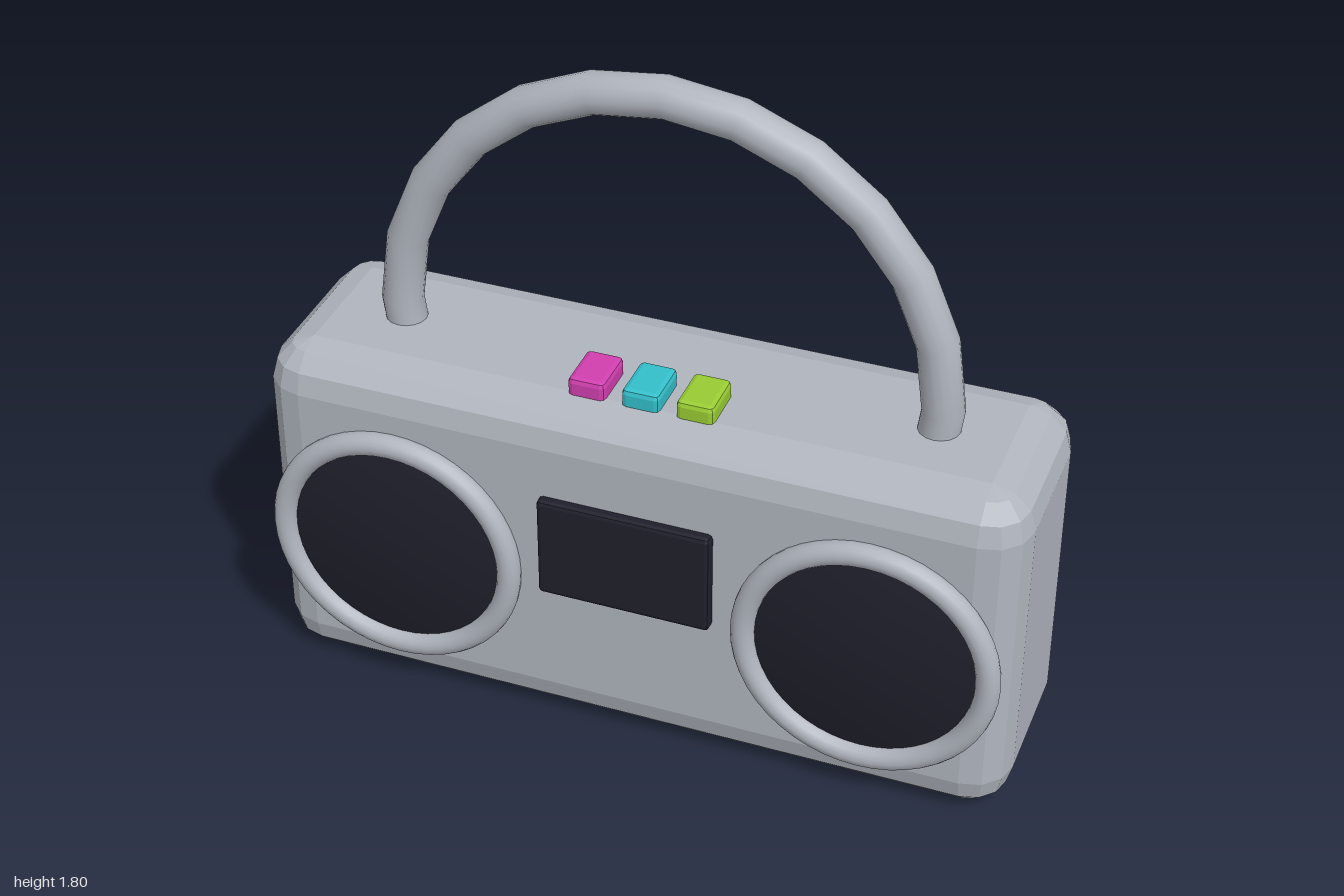
import * as THREE from 'three';
import { mergeVertices } from 'three/addons/utils/BufferGeometryUtils.js';
import { ConvexGeometry } from 'three/addons/geometries/ConvexGeometry.js';

const mat = (name, color) => {
  const m = new THREE.MeshStandardMaterial({ color });
  m.name = name;
  return m;
};

// Faceted box with every edge bevelled in a few steps
function bevelBox(w, h, d, r, steps) {
  const points = [];
  for (const sx of [-1, 1]) for (const sy of [-1, 1]) for (const sz of [-1, 1]) {
    for (let i = 0; i <= steps; i++) for (let j = 0; j <= steps; j++) {
      const a = (i / steps) * Math.PI / 2, b = (j / steps) * Math.PI / 2;
      if (i === steps && j > 0) continue; // single pole point
      points.push(new THREE.Vector3(
        sx * (w / 2 - r + r * Math.cos(a) * Math.cos(b)),
        sy * (h / 2 - r + r * Math.sin(a)),
        sz * (d / 2 - r + r * Math.cos(a) * Math.sin(b))
      ));
    }
  }
  return new ConvexGeometry(points);
}

// Disc whose rim normals lean outward, so it shades like a soft cone
function softDisc(radius, depth) {
  const g = new THREE.CylinderGeometry(radius, radius, depth, 48).rotateX(Math.PI / 2);
  g.deleteAttribute('normal');
  g.deleteAttribute('uv');
  const merged = mergeVertices(g);
  merged.computeVertexNormals();
  return merged;
}

export function createModel() {
  const group = new THREE.Group();
  const grey = mat('casing grey', 0xb0b5be);
  const dark = mat('speaker black', 0x1f1f2b);
  const pink = mat('button pink', 0xd03fae);
  const cyan = mat('button cyan', 0x33bfca);
  const lime = mat('button lime', 0x98cc33);

  const add = (name, geometry, material, x, y, z) => {
    const mesh = new THREE.Mesh(geometry, material);
    mesh.name = name;
    mesh.position.set(x, y, z);
    group.add(mesh);
    return mesh;
  };

  // Casing
  add('body', bevelBox(2, 0.97, 0.567, 0.113, 3), grey, 0, 0.485, -0.0215);

  // Carrying handle, its ends sunk into the casing
  const step = Math.PI / 12;
  const arch = new THREE.TorusGeometry(0.715, 0.054, 16, 14, 14 * step).rotateZ(-step);
  add('handle', arch, grey, 0, 1.028, -0.0215);

  // Speakers
  for (const [side, s] of [['left', 1], ['right', -1]]) {
    add(side + 'SpeakerRim', new THREE.TorusGeometry(0.315, 0.0315, 16, 48), grey, s * 0.63, 0.457, 0.2735);
    add(side + 'SpeakerCone', softDisc(0.3, 0.05), dark, s * 0.63, 0.457, 0.25);
  }

  // Display
  add('screen', bevelBox(0.46, 0.288, 0.06, 0.012, 2), dark, 0, 0.573, 0.26);

  // Top buttons
  [pink, cyan, lime].forEach((material, i) => {
    add('button' + (i + 1), bevelBox(0.1, 0.06, 0.14, 0.014, 2), material, (i - 1) * 0.142, 0.985, 0.09);
  });

  return group;
}
